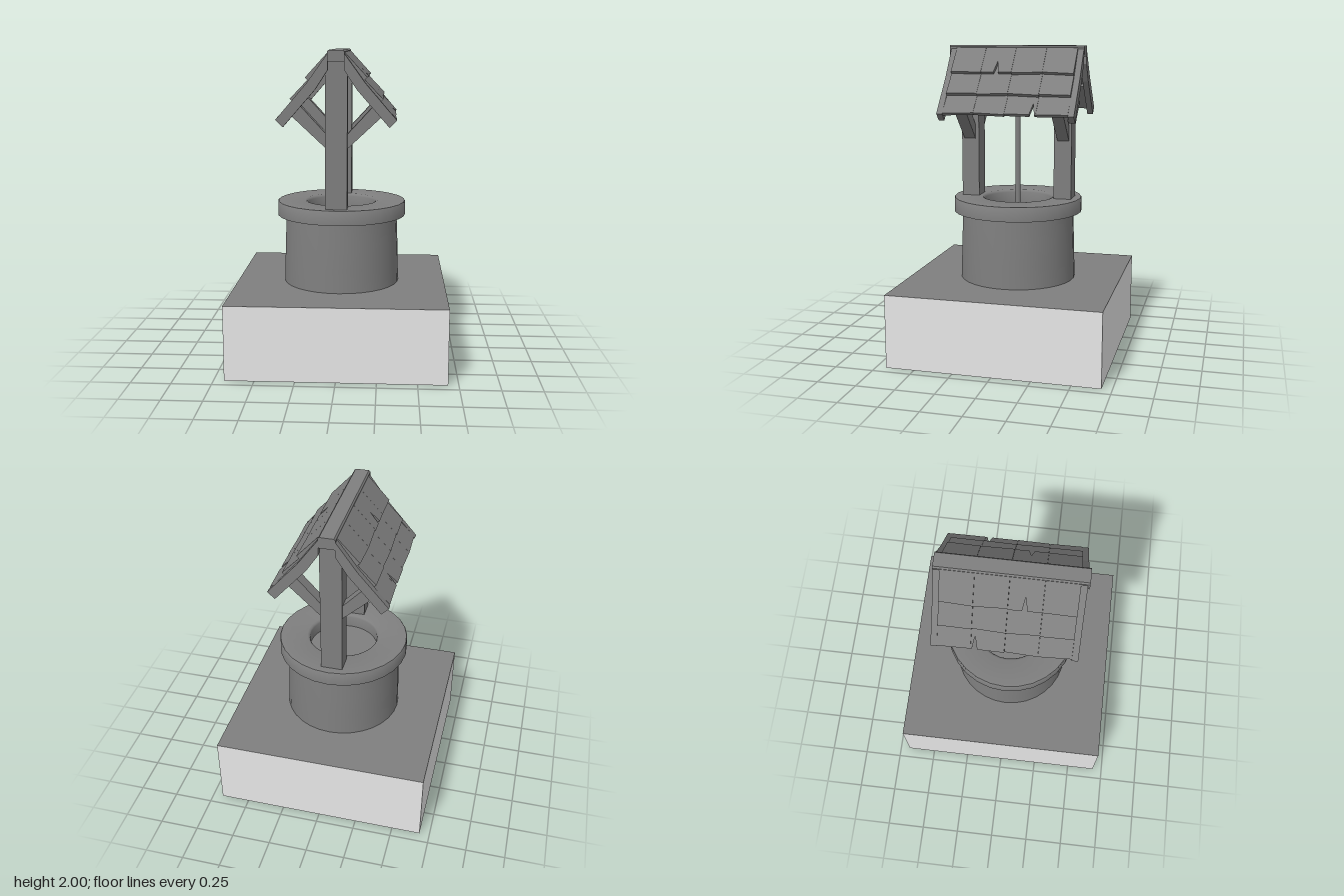
import * as THREE from 'three';
import { toCreasedNormals } from 'three/addons/utils/BufferGeometryUtils.js';

const darkGrey = new THREE.MeshStandardMaterial({ color: 0x7f7f7f });
darkGrey.name = 'darkGrey';
const lightGrey = new THREE.MeshStandardMaterial({ color: 0xe7e7e7 });
lightGrey.name = 'lightGrey';

function add(parent, name, geometry, material = darkGrey) {
  const mesh = new THREE.Mesh(geometry, material);
  mesh.name = name;
  parent.add(mesh);
  return mesh;
}

function box(parent, name, w, h, d, x, y, z, material) {
  const mesh = add(parent, name, new THREE.BoxGeometry(w, h, d), material);
  mesh.position.set(x, y, z);
  return mesh;
}

const toShape = (points) => new THREE.Shape(points.map(([x, y]) => new THREE.Vector2(x, y)));

// Extrudes an outline between two z positions
function slab(parent, name, points, z0, z1) {
  const geometry = new THREE.ExtrudeGeometry(toShape(points), { depth: z1 - z0, bevelEnabled: false });
  return add(parent, name, geometry.translate(0, 0, z0));
}

// Turned part from a profile, with sharp edges kept
function turned(parent, name, profile, segments) {
  const points = profile.map(([r, y]) => new THREE.Vector2(r, y));
  return add(parent, name, toCreasedNormals(new THREE.LatheGeometry(points, segments), 0.8));
}

// One shingle on a slope, from its upper to its lower end, optionally cracked
function shingle(parent, side, zMid, from, to, notch, shift) {
  const thickness = 0.022, half = 0.0995;
  const dx = to[0] - from[0], dy = to[1] - from[1];
  const length = Math.hypot(dx, dy);
  const outline = [[-half, 0], [half, 0], [half, length + shift]];
  if (notch !== undefined) {
    const n = notch * side;
    outline.push([n + 0.017, length], [n + 0.002, length - 0.09], [n - 0.015, length]);
  }
  outline.push([-half, length - shift]);
  const geometry = new THREE.ExtrudeGeometry(toShape(outline), { depth: thickness, bevelEnabled: false });
  geometry.translate(0, 0, -thickness);
  const down = new THREE.Vector3(side * dx, dy, 0).divideScalar(length);
  const across = new THREE.Vector3(0, 0, side);
  const out = across.clone().cross(down);
  geometry.applyMatrix4(new THREE.Matrix4().makeBasis(across, down, out).setPosition(side * from[0], from[1], zMid));
  add(parent, 'shingle', geometry);
}

export function createModel() {
  const model = new THREE.Group();
  model.name = 'well';

  // Ground block: pale sides and underside, dark top
  box(model, 'groundBlock', 1.37, 0.475, 1.37, 0, 0.2375, 0,
    [lightGrey, lightGrey, darkGrey, lightGrey, lightGrey, lightGrey]);

  // Stone shaft, closed at the top, and the rim around the opening
  turned(model, 'shaft', [[0.38, 0.475], [0.377, 0.62], [0.372, 0.78], [0.366, 0.925], [0, 0.925]], 32);
  turned(model, 'rim', [
    [0.222, 0.922], [0.422, 0.922], [0.422, 1.01], [0.418, 1.015],
    [0.24, 1.015], [0.228, 1.01], [0.222, 0.998], [0.222, 0.922],
  ], 28);

  // Rope hanging from the ridge
  const rope = add(model, 'rope', new THREE.CylinderGeometry(0.017, 0.017, 1.02, 10));
  rope.position.set(0, 1.43, 0);

  // Wooden frame and roof sit slightly off centre
  const frame = new THREE.Group();
  frame.name = 'roofFrame';
  frame.position.x = -0.01;
  model.add(frame);

  slab(frame, 'ridgeBeam', [
    [-0.052, 1.93], [0.052, 1.93], [0.052, 1.99], [0.043, 2], [-0.043, 2], [-0.052, 1.99],
  ], -0.44, 0.45);

  for (const end of [1, -1]) {
    box(frame, 'post', 0.137, 0.94, 0.115, -0.003, 1.475, end * 0.31);
    for (const side of [1, -1]) {
      const mirror = (points) => points.map(([x, y]) => [x * side, y]);
      // Bent rafter at the gable
      slab(frame, 'rafter', mirror([
        [0.05, 1.98], [0.18, 1.8], [0.37, 1.58], [0.325, 1.535], [0.125, 1.765], [0.05, 1.88],
      ]), end * 0.419 - 0.019, end * 0.419 + 0.019);
      // Diagonal brace from post to roof
      slab(frame, 'brace', mirror([
        [0.06, 1.39], [0.295, 1.61], [0.24, 1.675], [0.06, 1.48],
      ]), end * 0.313 - 0.038, end * 0.313 + 0.038);
    }
  }

  // Three overlapping rows of four shingles on each slope
  const rows = [
    [[0.05, 1.988], [0.19, 1.835]],
    [[0.12, 1.878], [0.285, 1.705]],
    [[0.215, 1.744], [0.367, 1.588]],
  ];
  for (const side of [1, -1]) {
    rows.forEach(([from, to], row) => {
      for (let col = 0; col < 4; col++) {
        let notch;
        if (row === 0 && col === 2) notch = 0;
        if (row === 2 && col === 1) notch = -0.075;
        const shift = (((row * 5 + col * 3) % 4) - 1.5) * 0.003;
        shingle(frame, side, -0.3 + col * 0.2, from, to, notch, shift);
      }
    });
  }
  return model;
}
